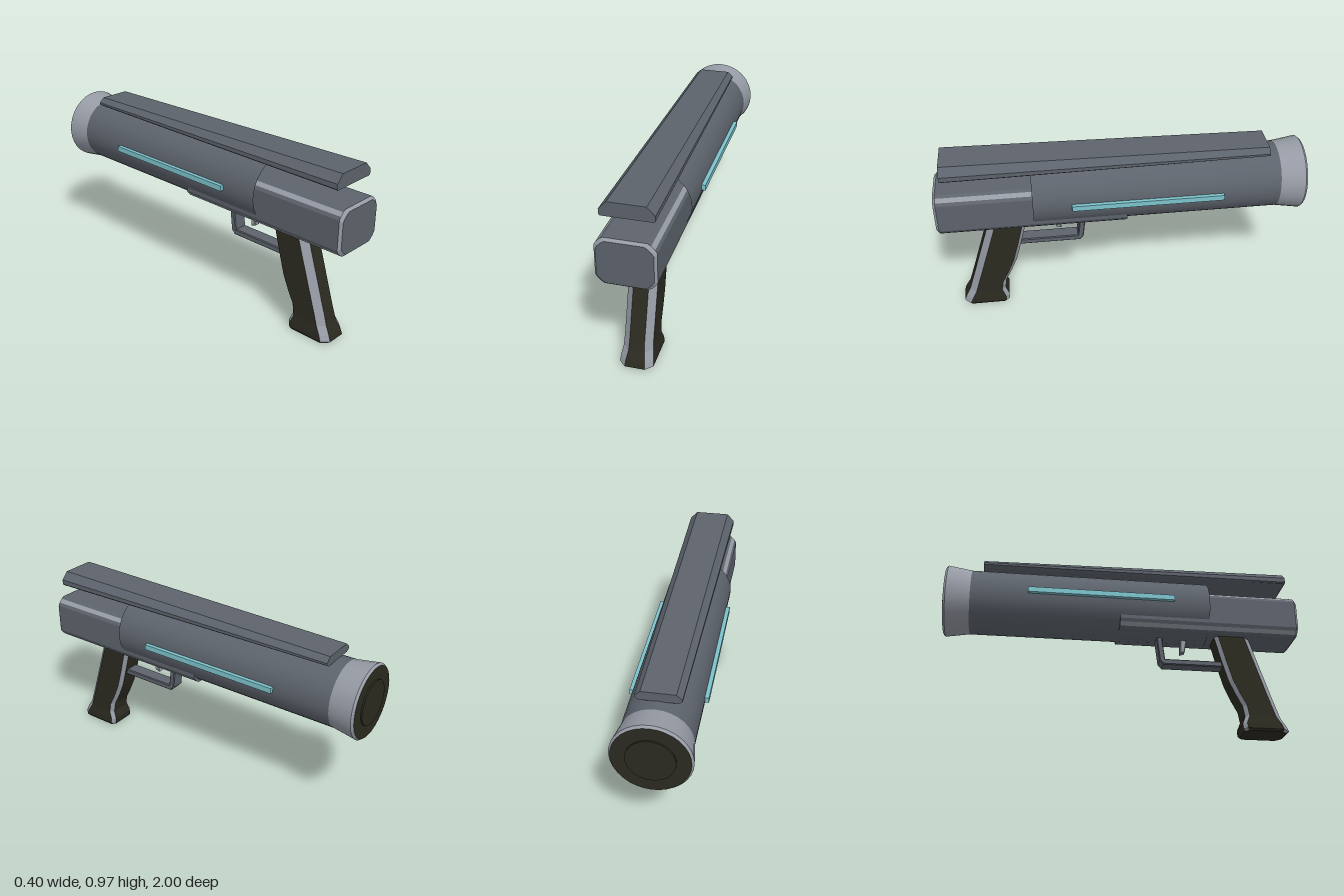
import * as THREE from 'three';

const mat = (name, color, side = THREE.FrontSide) => {
  const m = new THREE.MeshStandardMaterial({ color, side });
  m.name = name;
  return m;
};

// Skin a list of equal-length cross-sections; pick(j, i) gives the material index of each side face.
function loft(sections, pick = () => 0, capIndex = 0) {
  const faces = [[], [], []];
  const n = sections[0].length;
  for (let j = 0; j < sections.length - 1; j++) {
    for (let i = 0; i < n; i++) {
      const k = (i + 1) % n;
      const [a, b, c, d] = [sections[j][i], sections[j][k], sections[j + 1][k], sections[j + 1][i]];
      faces[pick(j, i)].push(a, b, c, a, c, d);
    }
  }
  const first = sections[0], last = sections[sections.length - 1];
  for (let i = 1; i < n - 1; i++) {
    faces[capIndex].push(first[0], first[i + 1], first[i], last[0], last[i], last[i + 1]);
  }
  const g = new THREE.BufferGeometry();
  g.setAttribute('position', new THREE.Float32BufferAttribute(faces.flat(2), 3));
  let start = 0;
  faces.forEach((f, m) => {
    if (f.length) g.addGroup(start, f.length, m);
    start += f.length;
  });
  g.computeVertexNormals();
  return g;
}

export function createModel() {
  const group = new THREE.Group();
  const gunmetal = mat('gunmetal', 0x5d636c);
  const gunmetalOpen = mat('gunmetal tube', 0x5d636c, THREE.DoubleSide);
  const steel = mat('light steel', 0x969ba5);
  const steelOpen = mat('light steel open', 0x969ba5, THREE.DoubleSide);
  const dark = mat('dark olive', 0x2b2a20);
  const teal = mat('teal', 0x7cc3cc);
  const palette = [gunmetal, steel, dark];

  const add = (name, geometry, material) => {
    const mesh = new THREE.Mesh(geometry, material);
    mesh.name = name;
    group.add(mesh);
    return mesh;
  };

  // Cylinders along z, on the barrel axis
  const axisY = 0.725;
  const tube = (name, rFront, rBack, zFront, zBack, material, open) => {
    const g = new THREE.CylinderGeometry(rFront, rBack, zFront - zBack, 32, 1, open);
    g.rotateX(Math.PI / 2).translate(0, axisY, (zFront + zBack) / 2);
    return add(name, g, material);
  };
  tube('barrel', 0.18, 0.18, 0.485, -0.85, gunmetalOpen, true);
  tube('muzzleFlare', 0.18, 0.2, -0.85, -0.98, steelOpen, true);
  tube('muzzleLip', 0.2, 0.19, -0.98, -0.992, steelOpen, true);
  tube('muzzlePlate', 0.19, 0.19, -0.975, -0.992, dark, false);
  tube('muzzleDisc', 0.12, 0.12, -0.965, -1.0, dark, false);

  // Receiver: box with three-facet corners and a bevelled front
  const receiverSection = (z, inset) => {
    const w = 0.15 - inset, h = 0.125 - inset, c = 0.045;
    const pts = [];
    for (let q = 0; q < 4; q++) {
      const sx = q === 0 || q === 3 ? 1 : -1, sy = q < 2 ? 1 : -1;
      const corner = [[0, c], [0.01, 0.028], [0.028, 0.01], [c, 0]]
        .map(([dx, dy]) => [sx * (w - dx), 0.686 + sy * (h - dy), z]);
      pts.push(...(q % 2 ? corner.reverse() : corner));
    }
    return pts;
  };
  add('receiver', loft(
    [receiverSection(-0.02, 0), receiverSection(0.986, 0), receiverSection(1.0, 0.012)],
    (j, i) => (j === 1 || i % 4 === 1 ? 1 : 0)), palette);

  // Top rail, slightly tapered to the rear
  const railSection = (z, wBottom, w, wTop, y0, y1, y2, y3) => [
    [wBottom, y0, z], [w, y1, z], [w, y2, z], [wTop, y3, z],
    [-wTop, y3, z], [-w, y2, z], [-w, y1, z], [-wBottom, y0, z],
  ];
  add('topRail', loft([
    railSection(-0.79, 0.095, 0.113, 0.085, 0.902, 0.914, 0.925, 0.951),
    railSection(0.95, 0.126, 0.133, 0.094, 0.9, 0.907, 0.934, 0.975),
  ]), palette);

  // Side light strips
  for (const s of [1, -1]) {
    const strip = add(s > 0 ? 'leftStrip' : 'rightStrip', new THREE.BoxGeometry(0.05, 0.03, 0.815), teal);
    strip.position.set(s * 0.175, 0.725, -0.128);
  }

  // Grip: slanted, flared at the foot, with light corner bevels
  const gripSection = ([y, zf, zb, w, cf, cb]) => {
    const right = [[w - cf, y, zf], [w, y, zf - cf], [w, y, zb + cb], [w - cb, y, zb]];
    return [...right, ...right.map(([x, py, z]) => [-x, py, z]).reverse()];
  };
  add('grip', loft([
    [0.003, 0.905, 0.67, 0.08, 0.03, 0.02],
    [0.015, 0.92, 0.662, 0.088, 0.036, 0.02],
    [0.045, 0.908, 0.66, 0.085, 0.036, 0.02],
    [0.09, 0.882, 0.678, 0.077, 0.036, 0.02],
    [0.15, 0.863, 0.668, 0.075, 0.036, 0.02],
    [0.22, 0.84, 0.632, 0.075, 0.036, 0.02],
    [0.3, 0.815, 0.597, 0.075, 0.036, 0.02],
    [0.42, 0.777, 0.563, 0.075, 0.036, 0.02],
    [0.57, 0.73, 0.525, 0.075, 0.036, 0.02],
  ].map(gripSection), (j, i) => (i % 2 === 0 ? 1 : 2), 2), palette);

  // Trigger and guard: side outlines (z, y) extruded across x
  const sidePlate = (name, outline, width, material) => {
    const shape = new THREE.Shape(outline.map(([z, y]) => new THREE.Vector2(-z, y)));
    const g = new THREE.ExtrudeGeometry(shape, {
      depth: width - 0.01, bevelEnabled: true, bevelSize: 0.005, bevelThickness: 0.005,
      bevelOffset: -0.005, bevelSegments: 1,
    });
    g.translate(0, 0, -(width - 0.01) / 2).rotateY(Math.PI / 2);
    return add(name, g, material);
  };
  sidePlate('triggerGuard', [
    [0.6, 0.387], [0.235, 0.387], [0.214, 0.41], [0.196, 0.57],
    [0.228, 0.57], [0.246, 0.42], [0.6, 0.42],
  ], 0.08, gunmetal);
  sidePlate('trigger', [[0.38, 0.57], [0.362, 0.475], [0.335, 0.467], [0.34, 0.57]], 0.04, steel);

  return group;
}
